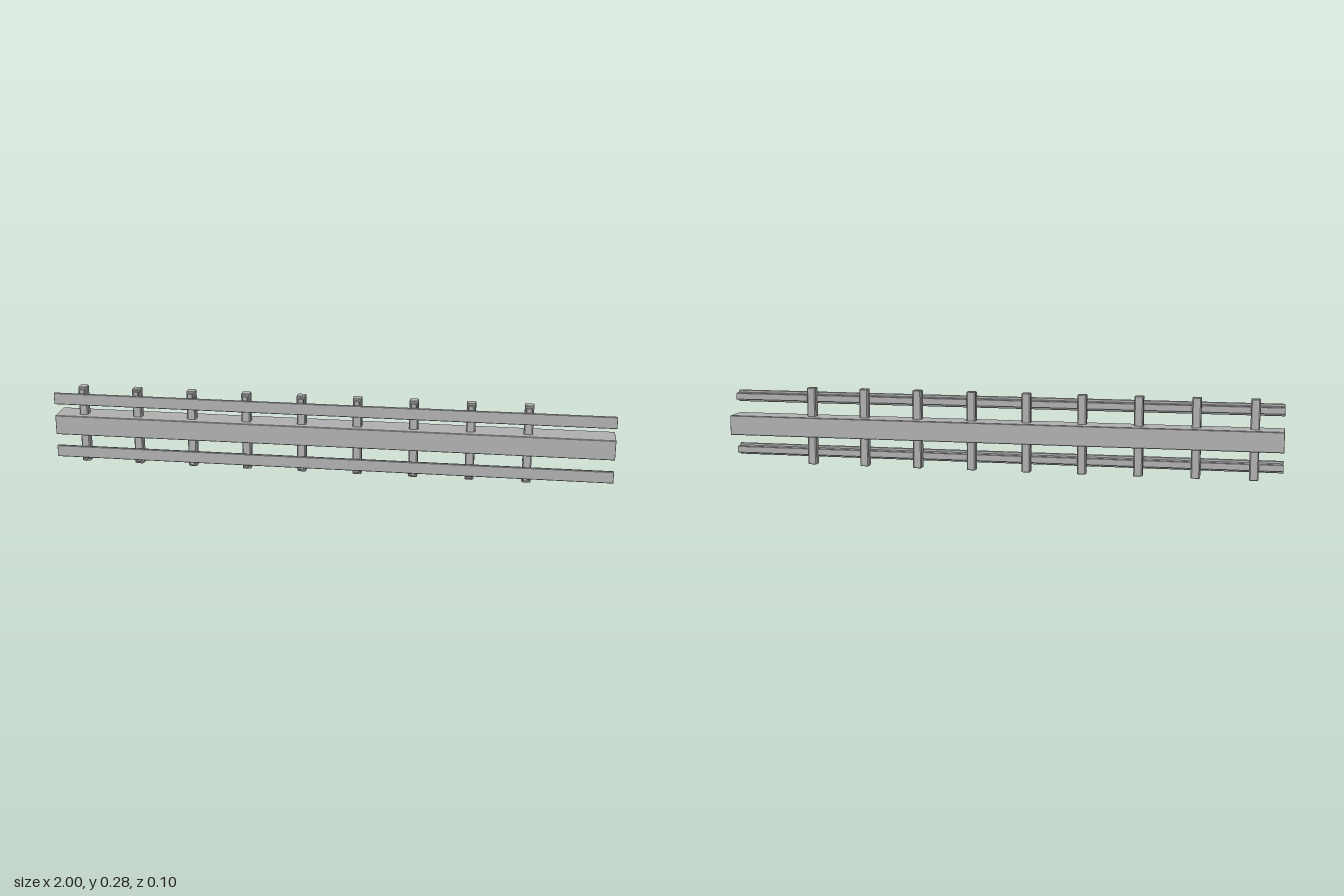
import * as THREE from 'three';

const steel = new THREE.MeshStandardMaterial({ color: 0xb0b0b0 });
steel.name = 'plain grey';

const MID_Y = 0.143; // height of the beam's centre line

// Extrude an outline to a centred length, with small bevels at both ends
function bar(points, length, bevel) {
  const shape = new THREE.Shape(points.map(([x, y]) => new THREE.Vector2(x, y)));
  const geo = new THREE.ExtrudeGeometry(shape, {
    depth: length - 2 * bevel, bevelEnabled: true, bevelSegments: 1,
    bevelThickness: bevel, bevelSize: bevel, bevelOffset: -bevel,
  });
  return geo.translate(0, 0, -length / 2 + bevel);
}

// Rectangle outline with its corners cut by c
function cutRect(w, h, c) {
  const x = w / 2, y = h / 2;
  return [[x - c, -y], [x, -y + c], [x, y - c], [x - c, y],
    [-x + c, y], [-x, y - c], [-x, -y + c], [-x + c, -y]];
}

function add(parent, name, geo, x, y, z) {
  const mesh = new THREE.Mesh(geo, steel);
  mesh.name = name;
  mesh.position.set(x, y, z);
  parent.add(mesh);
}

export function createModel() {
  const model = new THREE.Group();
  model.name = 'railTrack';

  // Heavy central beam
  const beam = bar(cutRect(0.097, 0.072, 0.002), 2, 0.001).rotateY(Math.PI / 2);
  add(model, 'centralBeam', beam, 0, MID_Y, 0.0015);

  // T-section rails: thin head at the front, thick web behind
  const c = 0.002, front = -0.05, neck = -0.042, back = -0.015, head = 0.0215, web = 0.0125;
  const railOutline = [
    [front + c, -head], [neck - c, -head], [neck, -head + c], [neck, -web],
    [back - c, -web], [back, -web + c], [back, web - c], [back - c, web],
    [neck, web], [neck, head - c], [neck - c, head], [front + c, head],
    [front, head - c], [front, -head + c],
  ];
  const rail = bar(railOutline, 2, 0.001).rotateY(Math.PI / 2);
  for (const side of [1, -1]) {
    add(model, side > 0 ? 'upperRail' : 'lowerRail', rail, 0, MID_Y + side * 0.1, 0);
  }

  // Upright ties with a small clip beside each rail
  const tie = bar(cutRect(0.032, 0.032, 0.004), 0.284, 0.002).rotateX(Math.PI / 2);
  const clip = bar(cutRect(0.02, 0.02, 0.003), 0.014, 0.0015);
  for (let i = 0; i < 9; i++) {
    const x = -0.9 + i * 0.2;
    add(model, 'tie', tie, x, 0.142, 0.01);
    for (const side of [1, -1]) add(model, 'railClip', clip, x, MID_Y + side * 0.124, 0.029);
  }
  return model;
}
